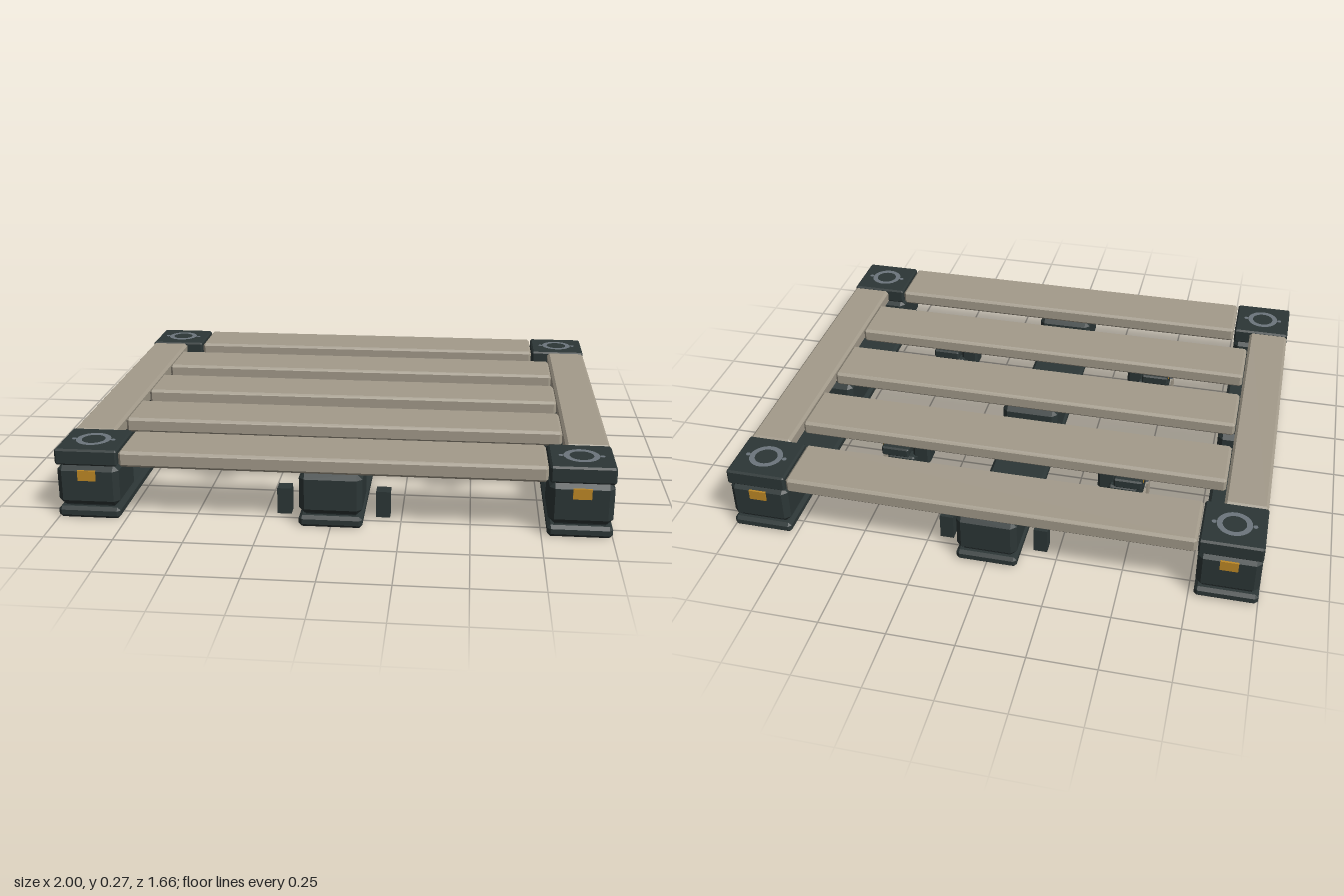
import * as THREE from 'three';
import { ConvexGeometry } from 'three/addons/geometries/ConvexGeometry.js';

const mat = (name, color) => Object.assign(new THREE.MeshStandardMaterial({ color }), { name });

// Box given by min/max corners with every edge chamfered by c
function chamferBox(x0, x1, y0, y1, z0, z1, c) {
  const h = [(x1 - x0) / 2, (y1 - y0) / 2, (z1 - z0) / 2];
  const pts = [];
  for (const sx of [-1, 1]) for (const sy of [-1, 1]) for (const sz of [-1, 1]) {
    for (let full = 0; full < 3; full++) {
      const e = h.map((v, i) => (i === full ? v : v - c));
      pts.push(new THREE.Vector3(sx * e[0], sy * e[1], sz * e[2]));
    }
  }
  return new ConvexGeometry(pts).translate((x0 + x1) / 2, (y0 + y1) / 2, (z0 + z1) / 2);
}

export function createModel() {
  const dark = mat('darkPlastic', 0x2c3636);
  const black = mat('blackPlastic', 0x1f2728);
  const tan = mat('tanBoard', 0xa39b8b);
  const orange = mat('orangePlate', 0xc08a26);
  const gray = mat('grayMetal', 0x6c757c);

  const root = new THREE.Group();
  root.name = 'pallet';
  const add = (parent, name, geo, m) => {
    const mesh = new THREE.Mesh(geo, m);
    mesh.name = name;
    parent.add(mesh);
    return mesh;
  };
  const box = (parent, name, m, x0, x1, y0, y1, z0, z1, c = 0) => add(parent, name,
    c ? chamferBox(x0, x1, y0, y1, z0, z1, c)
      : new THREE.BoxGeometry(x1 - x0, y1 - y0, z1 - z0).translate((x0 + x1) / 2, (y0 + y1) / 2, (z0 + z1) / 2), m);

  // Skids with three spacer blocks each
  for (const x of [-0.885, 0, 0.885]) {
    box(root, 'skid', dark, x - 0.115, x + 0.115, 0, 0.043, -0.83, 0.83, 0.012);
    for (const z of [-0.716, 0, 0.716]) {
      box(root, 'spacerBlock', dark, x - 0.114, x + 0.114, 0.048, 0.203, z - 0.111, z + 0.111, 0.02);
      box(root, 'blockFoot', black, x - 0.09, x + 0.09, 0.03, 0.06, z - 0.09, z + 0.09);
      box(root, 'blockNeck', black, x - 0.09, x + 0.09, 0.19, 0.212, z - 0.09, z + 0.09);
    }
  }

  // Deck boards
  for (const s of [-1, 1]) {
    box(root, 'endBoard', tan, -0.765, 0.765, 0.205, 0.265, s * 0.716 - 0.114, s * 0.716 + 0.114, 0.01);
    box(root, 'sideBoard', tan, s * 0.918 - 0.08, s * 0.918 + 0.08, 0.205, 0.265, -0.602, 0.602, 0.01);
  }
  for (const z of [-0.36, 0, 0.355]) {
    box(root, 'slat', tan, -0.835, 0.835, 0.206, 0.264, z - 0.113, z + 0.113, 0.01);
  }

  // Corner caps with ring fitting and marker plate
  for (const sx of [-1, 1]) for (const sz of [-1, 1]) {
    const x = sx * 0.885, z = sz * 0.716;
    box(root, 'cornerCap', dark, x - 0.115, x + 0.115, 0.205, 0.267, z - 0.114, z + 0.114, 0.007);
    const ring = add(root, 'capRing', new THREE.RingGeometry(0.043, 0.064, 32).rotateX(-Math.PI / 2), gray);
    ring.position.set(x, 0.2685, z);
    for (const s of [-1, 1]) {
      const nub = add(root, 'ringNub', new THREE.CylinderGeometry(0.009, 0.009, 0.002, 12), gray);
      nub.position.set(x + s * 0.073, 0.2675, z);
    }
    const zf = sz * 0.828;
    box(root, 'markerPlate', orange, x - 0.033, x + 0.033, 0.148, 0.187, zf - 0.004, zf + 0.004);
  }

  // Support posts beside the middle skid
  for (const sx of [-1, 1]) for (const sz of [-1, 1]) {
    const x = sx * 0.182, z = sz * 0.69;
    box(root, 'supportPost', dark, x - 0.026, x + 0.026, 0, 0.1, z - 0.026, z + 0.026);
  }

  // Hanging wheel units under the deck, mirrored to four places
  for (const sx of [-1, 1]) for (const sz of [-1, 1]) {
    const unit = new THREE.Group();
    unit.name = 'wheelUnit';
    unit.position.z = sz * 0.365;
    unit.rotation.y = sx > 0 ? 0 : Math.PI;
    root.add(unit);
    box(unit, 'mountPlate', black, 0.3, 0.45, 0.186, 0.208, -0.05, 0.05);
    box(unit, 'mountBody', dark, 0.34, 0.41, 0.085, 0.19, -0.04, 0.04, 0.01);
    box(unit, 'upperArm', dark, 0.4, 0.525, 0.135, 0.165, -0.03, 0.03);
    const drum = add(unit, 'wheelDrum', new THREE.CylinderGeometry(0.074, 0.066, 0.05, 24), dark);
    drum.position.set(0.45, 0.095, 0);
    const rim = add(unit, 'drumRim', new THREE.CylinderGeometry(0.045, 0.045, 0.01, 24), gray);
    rim.position.set(0.45, 0.068, 0);
    const hub = add(unit, 'drumHub', new THREE.CylinderGeometry(0.028, 0.028, 0.016, 16), black);
    hub.position.set(0.45, 0.066, 0);
    for (const s of [-1, 1]) {
      box(unit, 'sideHousing', dark, 0.39, 0.5, 0.07, 0.145, s * 0.07 - 0.016, s * 0.07 + 0.016, 0.008);
      box(unit, 'upperHousing', dark, 0.41, 0.52, 0.145, 0.185, s * 0.068 - 0.025, s * 0.068 + 0.025, 0.006);
      box(unit, 'orangeTab', orange, 0.515, 0.523, 0.165, 0.182, s * 0.055 - 0.01, s * 0.055 + 0.01);
    }
    box(unit, 'bracketFace', tan, 0.53, 0.538, 0.055, 0.14, -0.034, 0.034);
    box(unit, 'bracketFoot', tan, 0.46, 0.538, 0.053, 0.059, -0.034, 0.034);
    box(unit, 'bracketTop', gray, 0.52, 0.536, 0.14, 0.188, -0.025, 0.025);
  }
  return root;
}
